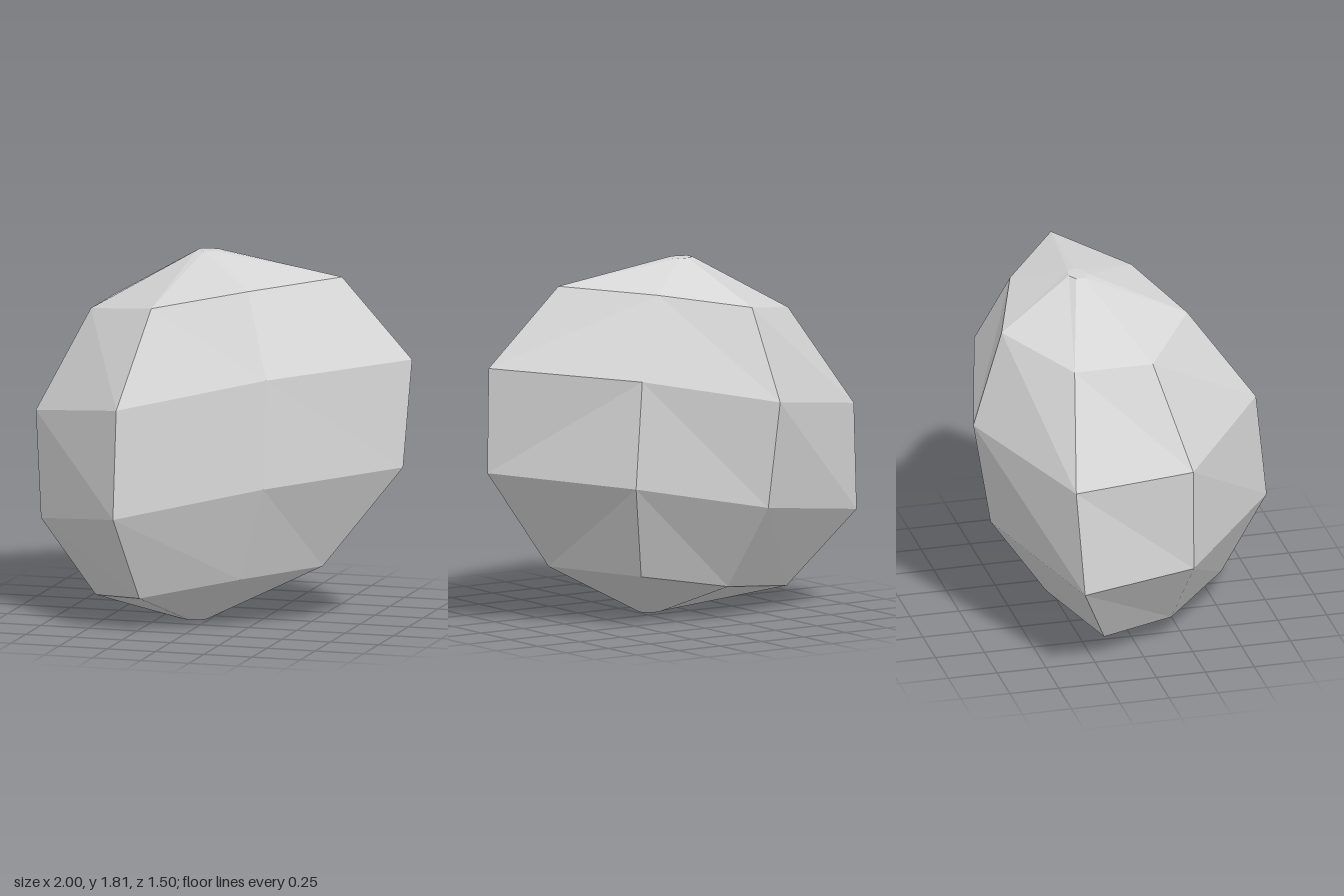
import * as THREE from 'three';

const SIDES = 7;

// Small, nearly flat ring that closes the boulder at one end
function capRing(x, y, z) {
  return Array.from({ length: SIDES }, (_, k) => {
    const a = (k / SIDES) * Math.PI * 2;
    return [x + 0.065 * Math.cos(a), y, z + 0.05 * Math.sin(a)];
  });
}

// Irregular cross-sections from top to bottom, each starting at +x and turning towards +z
const rings = [
  capRing(-0.08, 1.81, -0.165),
  [[0.62, 1.72, -0.12], [0.23, 1.68, 0.19], [-0.22, 1.6, 0.36], [-0.62, 1.53, 0.08],
    [-0.62, 1.53, -0.32], [-0.22, 1.6, -0.59], [0.23, 1.68, -0.43]],
  [[1.0, 1.335, -0.065], [0.39, 1.28, 0.41], [-0.3, 1.14, 0.69], [-0.86, 1.03, 0.225],
    [-0.96, 1.03, -0.4], [-0.28, 1.14, -0.75], [0.42, 1.28, -0.565]],
  [[0.97, 0.8, -0.01], [0.39, 0.74, 0.46], [-0.3, 0.6, 0.745], [-0.83, 0.49, 0.235],
    [-1.0, 0.49, -0.365], [-0.27, 0.6, -0.66], [0.44, 0.74, -0.54]],
  [[0.57, 0.29, 0.04], [0.24, 0.26, 0.36], [-0.23, 0.17, 0.53], [-0.56, 0.11, 0.19],
    [-0.7, 0.11, -0.19], [-0.23, 0.17, -0.365], [0.27, 0.26, -0.335]],
  capRing(-0.08, 0, 0.095),
];

// Skin the rings with separate triangles so every facet stays flat
function boulderGeometry() {
  const points = [];
  const tri = (...corners) => corners.forEach((p) => points.push(...p));

  for (let r = 0; r < rings.length - 1; r++) {
    for (let k = 0; k < SIDES; k++) {
      const n = (k + 1) % SIDES;
      const a = rings[r][k], b = rings[r][n];
      const c = rings[r + 1][k], d = rings[r + 1][n];
      if (n > k) {
        tri(a, b, c);
        tri(b, d, c);
      } else {
        tri(a, b, d);
        tri(a, d, c);
      }
    }
  }

  // Flat end caps
  const top = rings[0], bottom = rings[rings.length - 1];
  for (let k = 1; k < SIDES - 1; k++) {
    tri(top[0], top[k + 1], top[k]);
    tri(bottom[0], bottom[k], bottom[k + 1]);
  }

  const geometry = new THREE.BufferGeometry();
  geometry.setAttribute('position', new THREE.Float32BufferAttribute(points, 3));
  geometry.computeVertexNormals();
  return geometry;
}

export function createModel() {
  const stone = new THREE.MeshStandardMaterial({ color: 0xd5d5d5 });
  stone.name = 'pale grey stone';

  const boulder = new THREE.Mesh(boulderGeometry(), stone);
  boulder.name = 'boulder';

  const model = new THREE.Group();
  model.name = 'rock';
  model.add(boulder);
  return model;
}
